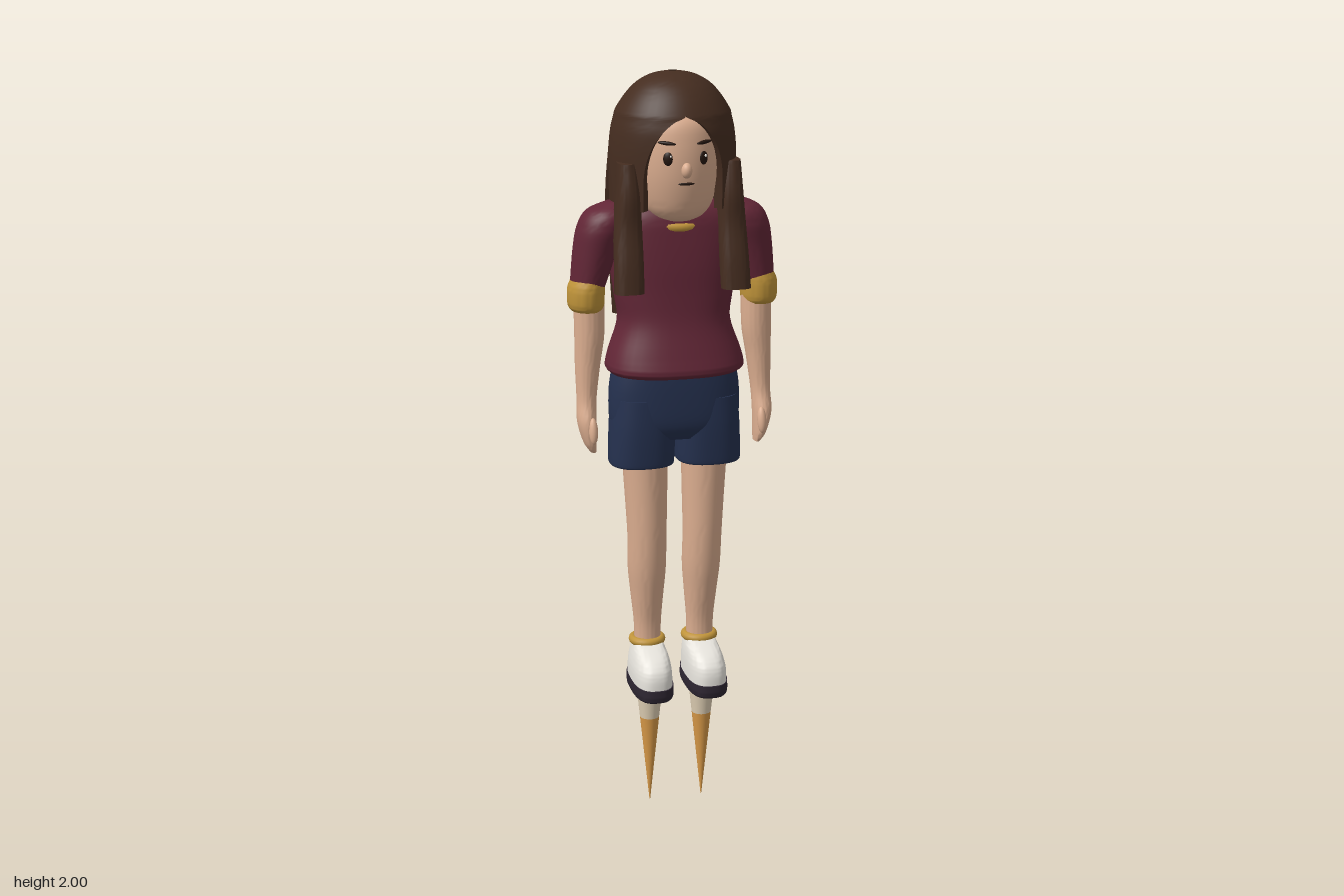
import * as THREE from 'three';
import { toCreasedNormals } from 'three/addons/utils/BufferGeometryUtils.js';

const mat = (name, color) => {
  const m = new THREE.MeshStandardMaterial({ color });
  m.name = name;
  return m;
};

// Smooth value between keyed sections
function sample(keys, t) {
  const i = Math.min(Math.floor(t), keys.length - 2), f = t - i;
  const at = (k) => keys[Math.max(0, Math.min(keys.length - 1, k))];
  return keys[i].map((b, c) => {
    const a = at(i - 1)[c], d = at(i + 1)[c], e = at(i + 2)[c];
    return b + 0.5 * f * (d - a + f * (2 * a - 5 * b + 4 * d - e + f * (3 * (b - d) + e - a)));
  });
}

// Lofted body; sections run upward as [y, x, z, rx, rz, gap].
// With open = true each section is a thick C, open toward +z by the half-angle gap.
function loft(keys, { power = 2, open = false, side = 1, ripple = 0, inner = 0.84, half = 20 } = {}) {
  const sub = 5, rows = (keys.length - 1) * sub + 1, N = half * 2;
  const pos = [], idx = [];
  const bend = (v) => Math.sign(v) * Math.pow(Math.abs(v), 2 / power);
  for (let j = 0; j < rows; j++) {
    const [y, x, z, rx, rz, gap = 0] = sample(keys, j / sub);
    for (let i = 0; i < N; i++) {
      let th = (i / N) * Math.PI * 2, r = 1;
      if (open) {
        const a = Math.max(0, gap), k = i < half ? i : N - 1 - i;
        th = a + (k / (half - 1)) * (Math.PI * 2 - 2 * a);
        r = i < half ? 1 + ripple * Math.cos(th * 20) : inner;
      }
      pos.push(x * side + rx * r * bend(Math.sin(th)), y, z + rz * r * bend(Math.cos(th)));
    }
  }
  const quad = (a, b, c, d) => idx.push(a, b, c, a, c, d);
  for (let j = 0; j < rows - 1; j++)
    for (let i = 0; i < N; i++) {
      const n = (i + 1) % N, o = j * N;
      quad(o + i, o + n, o + N + n, o + N + i);
    }
  const top = (rows - 1) * N;
  for (let i = 0; i < half - 1; i++) {
    quad(N - 1 - i, N - 2 - i, i + 1, i);
    quad(top + i, top + i + 1, top + N - 2 - i, top + N - 1 - i);
  }
  const g = new THREE.BufferGeometry();
  g.setAttribute('position', new THREE.Float32BufferAttribute(pos, 3));
  g.setIndex(idx);
  return toCreasedNormals(g, 0.9);
}

export function createModel() {
  const group = new THREE.Group();
  group.name = 'standingFigure';
  const skin = mat('skin', 0xdcae90), hair = mat('hairBrown', 0x452d20);
  const shirt = mat('shirtMaroon', 0x622636), gold = mat('trimGold', 0xc0943a);
  const navy = mat('shortsNavy', 0x25314f), white = mat('shoeWhite', 0xe8e5de);
  const dark = mat('soleDark', 0x2e2632), cream = mat('spikeCream', 0xdfcfb4);
  const orange = mat('spikeOrange', 0xd99a48), ink = mat('faceDark', 0x24160f);

  const add = (name, geometry, material, p = [0, 0, 0], s = [1, 1, 1], r = [0, 0, 0]) => {
    const m = new THREE.Mesh(geometry, material);
    m.name = name;
    m.position.set(...p);
    m.scale.set(...s);
    m.rotation.set(...r);
    group.add(m);
    return m;
  };
  const ball = new THREE.SphereGeometry(1, 20, 14);

  // Head and neck
  add('head', loft([
    [1.63, 0, 0.06, 0.035, 0.035], [1.645, 0, 0.052, 0.068, 0.066], [1.68, 0, 0.045, 0.092, 0.09],
    [1.75, 0, 0.04, 0.108, 0.109], [1.83, 0, 0.035, 0.11, 0.114], [1.89, 0, 0.025, 0.1, 0.107],
    [1.93, 0, 0.01, 0.06, 0.06],
  ]), skin);
  add('neck', new THREE.CylinderGeometry(0.05, 0.06, 0.12, 24), skin, [0, 1.62, 0.01]);
  add('nose', ball, skin, [0, 1.768, 0.148], [0.014, 0.02, 0.017]);
  add('mouth', ball, ink, [0, 1.734, 0.145], [0.021, 0.004, 0.005]);
  for (const s of [1, -1]) {
    add('eye', ball, ink, [0.045 * s, 1.797, 0.138], [0.013, 0.018, 0.007], [0, 0.4 * s, 0]);
    add('eyeGlint', ball, white, [0.045 * s + 0.005, 1.803, 0.1435], [0.003, 0.004, 0.003]);
    add('eyebrow', ball, ink, [0.048 * s, 1.836, 0.136], [0.023, 0.005, 0.006], [0, 0.4 * s, 0.1 * s]);
  }

  // Hair: cap with a face opening, long back panel and two front locks
  add('hairCap', loft([
    [1.66, 0, -0.008, 0.162, 0.15, 0.68], [1.75, 0, -0.006, 0.164, 0.153, 0.67],
    [1.81, 0, -0.005, 0.163, 0.156, 0.58], [1.855, 0, -0.004, 0.158, 0.156, 0.42],
    [1.885, 0, -0.003, 0.151, 0.15, 0.22], [1.903, 0, -0.002, 0.146, 0.144, 0],
    [1.94, 0, 0, 0.122, 0.12, 0], [1.97, 0, 0, 0.093, 0.091, 0],
    [1.99, 0, 0, 0.056, 0.055, 0], [1.999, 0, 0, 0.012, 0.012, 0],
  ], { open: true, half: 48 }), hair);
  add('hairBack', loft([
    [1.355, 0, -0.02, 0.158, 0.135, 2.1], [1.45, 0, -0.018, 0.163, 0.139, 2.05],
    [1.58, 0, -0.014, 0.167, 0.147, 1.95], [1.7, 0, -0.01, 0.167, 0.152, 1.8],
    [1.84, 0, -0.005, 0.155, 0.155, 1.75],
  ], { open: true, half: 64, power: 2.5, ripple: 0.008, inner: 0.74 }), hair);
  for (const s of [1, -1])
    add('hairFrontLock', loft([
      [1.455, 0.14, 0.111, 0.038, 0.028], [1.53, 0.138, 0.098, 0.037, 0.033],
      [1.62, 0.136, 0.076, 0.035, 0.04], [1.7, 0.134, 0.07, 0.03, 0.045], [1.78, 0.135, 0.06, 0.024, 0.04],
    ], { side: s, power: 2.8 }), hair);

  // Shirt body and collar
  add('shirtBody', loft([
    [1.225, 0, 0.016, 0.168, 0.115], [1.24, 0, 0.017, 0.182, 0.13], [1.28, 0, 0.014, 0.174, 0.122],
    [1.36, 0, 0.008, 0.148, 0.105], [1.43, 0, 0.005, 0.156, 0.1], [1.51, 0, 0.002, 0.167, 0.099],
    [1.58, 0, 0, 0.175, 0.094], [1.63, 0, 0, 0.165, 0.086], [1.66, 0, 0, 0.13, 0.07], [1.672, 0, 0, 0.07, 0.045],
  ], { power: 2.4 }), shirt);
  add('collar', new THREE.TorusGeometry(0.08, 0.013, 12, 40), gold, [0, 1.637, 0.018], [1, 0.88, 1], [Math.PI / 2 + 0.38, 0, 0]);

  // Shorts seat
  add('shortsSeat', loft([
    [1.05, 0, 0.014, 0.15, 0.07], [1.09, 0, 0.014, 0.171, 0.089],
    [1.18, 0, 0.013, 0.172, 0.093], [1.26, 0, 0.012, 0.158, 0.09],
  ], { power: 2.6 }), navy);

  for (const s of [1, -1]) {
    const o = { side: s };
    // Sleeve and cuff
    add('sleeve', loft([
      [1.455, 0.226, 0, 0.045, 0.058], [1.55, 0.205, 0.002, 0.058, 0.068], [1.61, 0.187, 0.005, 0.065, 0.073],
      [1.65, 0.17, 0.005, 0.058, 0.062], [1.673, 0.157, 0.005, 0.02, 0.025],
    ], o), shirt);
    add('sleeveCuff', loft([
      [1.393, 0.229, 0.002, 0.04, 0.05], [1.408, 0.231, 0.002, 0.047, 0.059],
      [1.45, 0.23, 0.002, 0.048, 0.062], [1.475, 0.225, 0.002, 0.043, 0.057],
    ], o), gold);
    // Arm with hand and thumb
    add('arm', loft([
      [1.018, 0.222, 0.028, 0.008, 0.02], [1.045, 0.23, 0.028, 0.017, 0.034], [1.1, 0.237, 0.026, 0.025, 0.038],
      [1.16, 0.235, 0.016, 0.026, 0.031], [1.25, 0.23, 0.01, 0.033, 0.036],
      [1.33, 0.224, 0.008, 0.039, 0.041], [1.43, 0.224, 0.005, 0.04, 0.044],
    ], o), skin);
    add('thumb', ball, skin, [0.227 * s, 1.082, 0.064], [0.012, 0.035, 0.013], [-0.2, 0, 0]);
    // Shorts leg
    add('shortsLeg', loft([
      [0.977, 0.09, 0.016, 0.083, 0.078], [0.99, 0.09, 0.016, 0.086, 0.081],
      [1.08, 0.087, 0.015, 0.086, 0.086], [1.16, 0.084, 0.014, 0.083, 0.085],
    ], { ...o, power: 2.5 }), navy);
    // Leg
    add('leg', loft([
      [0.44, 0.073, 0.008, 0.036, 0.034], [0.52, 0.073, 0.009, 0.037, 0.034], [0.6, 0.074, 0.009, 0.044, 0.048],
      [0.68, 0.075, 0.013, 0.051, 0.058], [0.77, 0.076, 0.021, 0.052, 0.058],
      [0.88, 0.078, 0.02, 0.056, 0.063], [1.02, 0.081, 0.018, 0.062, 0.069],
    ], o), skin);
    // Shoe, sole and ankle trim
    add('ankleTrim', new THREE.TorusGeometry(0.038, 0.012, 12, 32), gold, [0.073 * s, 0.468, 0.004], [1, 1, 1], [Math.PI / 2, 0, 0]);
    add('shoeUpper', loft([
      [0.365, 0.075, 0.046, 0.053, 0.106], [0.4, 0.075, 0.045, 0.052, 0.105], [0.425, 0.074, 0.04, 0.049, 0.099],
      [0.447, 0.073, 0.029, 0.044, 0.081], [0.465, 0.073, 0.008, 0.038, 0.048],
    ], { ...o, power: 2.8 }), white);
    add('shoeSole', loft([
      [0.336, 0.075, 0.046, 0.05, 0.104], [0.345, 0.075, 0.046, 0.055, 0.11], [0.372, 0.075, 0.046, 0.055, 0.11],
    ], { ...o, power: 2.8 }), dark);
    // Spike under the shoe
    add('spikeUpper', new THREE.CylinderGeometry(0.037, 0.0265, 0.1, 24), cream, [0.073 * s, 0.3, 0.032]);
    add('spikeTip', new THREE.CylinderGeometry(0.0265, 0.001, 0.25, 24), orange, [0.073 * s, 0.125, 0.032]);
  }
  return group;
}
